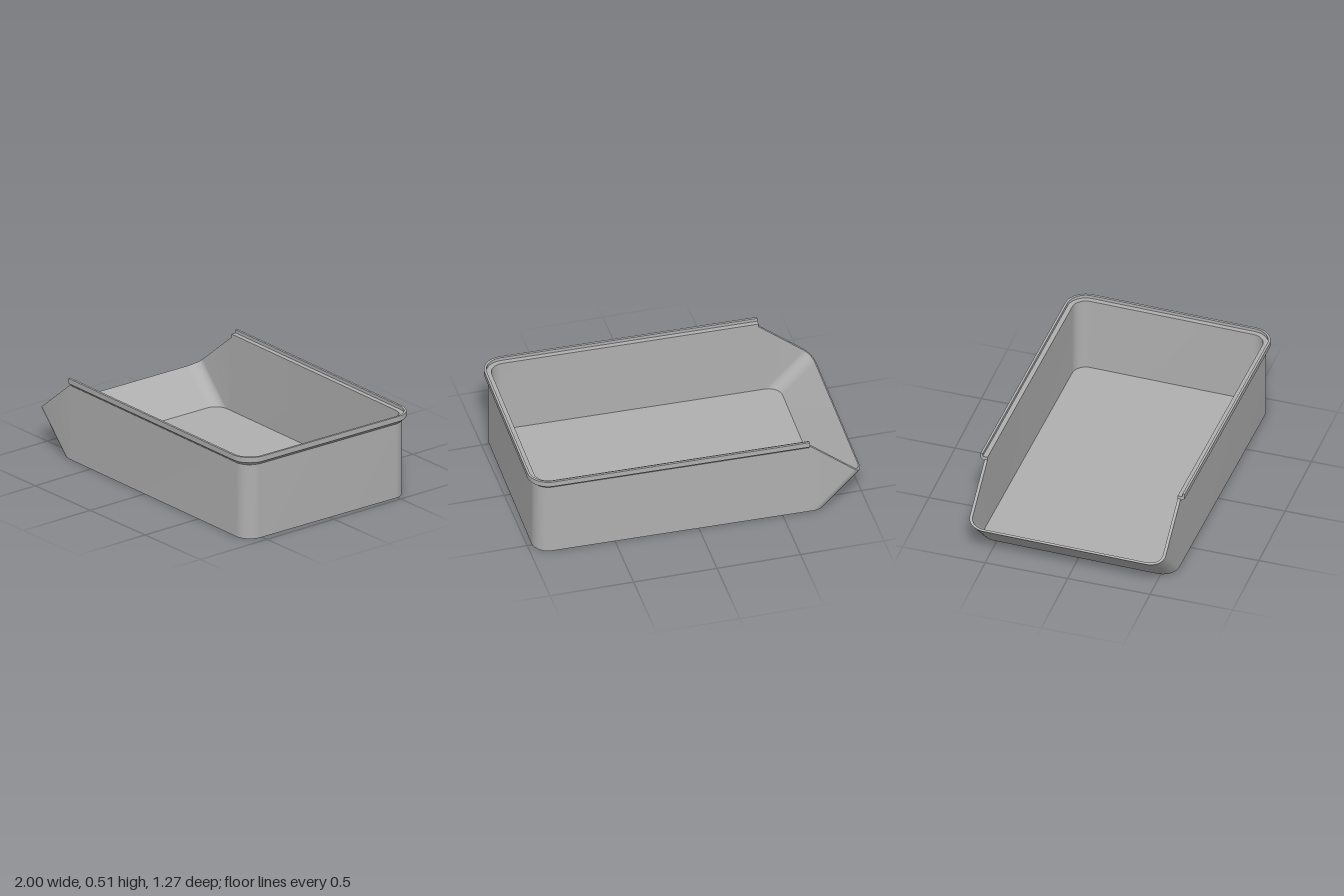
import * as THREE from 'three';
import { toCreasedNormals } from 'three/addons/utils/BufferGeometryUtils.js';

const LEFT = -0.79, RIGHT = 0.963, FRONT = 0.594, BACK = -0.601; // footprint
const RADIUS = 0.1, WALL = 0.018, FLOOR = 0.018, TOP = 0.475;
const TIP_X = -0.992, TIP_Y = 0.21, CUT_X = -0.667; // pouring mouth
const LEAN = (LEFT - TIP_X) / TIP_Y;
const SLOPE = (TOP - TIP_Y) / (CUT_X - TIP_X);
const SEGMENTS = 12;

// Rounded footprint, grown outwards by o; "lean" marks the sloping mouth wall.
function arc(cx, cz, o, from, lean) {
  const pts = [];
  for (let i = 0; i <= SEGMENTS; i++) {
    const a = (from - (i / SEGMENTS) * 90) * Math.PI / 180;
    pts.push({ x: cx + (RADIUS + o) * Math.cos(a), z: cz + (RADIUS + o) * Math.sin(a), lean });
  }
  return pts;
}

// Straight sides and far end, from the front cut round to the back cut
function rearPath(o) {
  return [
    { x: CUT_X, z: FRONT + o },
    ...arc(RIGHT - RADIUS, FRONT - RADIUS, o, 90),
    ...arc(RIGHT - RADIUS, BACK + RADIUS, o, 0),
    { x: CUT_X, z: BACK - o },
  ];
}

function fullPath(o) {
  const path = [
    ...arc(LEFT + RADIUS, FRONT - RADIUS, o, 180, true),
    ...rearPath(o),
    ...arc(LEFT + RADIUS, BACK + RADIUS, o, -90, true),
  ];
  return [...path, path[0]];
}

const atHeight = (c, y) => [c.lean ? c.x - LEAN * y : c.x, y, c.z];

// Top of a wall column, where it meets the sloping cut
const topOf = (c) => c.lean ? (TIP_Y + SLOPE * (c.x - TIP_X)) / (1 + LEAN * SLOPE) : TOP;

// Skin a list of equally long rings, with optional extra triangles
function skin(rings, extra = []) {
  const pos = [];
  const tri = (a, b, c) => pos.push(...a, ...b, ...c);
  for (let r = 0; r < rings.length - 1; r++) {
    const lo = rings[r], hi = rings[r + 1];
    for (let i = 0; i < lo.length - 1; i++) {
      if (lo[i] !== lo[i + 1]) tri(lo[i], lo[i + 1], hi[i + 1]);
      if (hi[i] !== hi[i + 1]) tri(lo[i], hi[i + 1], hi[i]);
    }
  }
  extra.forEach((t) => tri(...t));
  const g = new THREE.BufferGeometry();
  g.setAttribute('position', new THREE.Float32BufferAttribute(pos, 3));
  return toCreasedNormals(g, 0.5);
}

function traySkin() {
  const outer = fullPath(0), inner = fullPath(-WALL);
  const under = [0, 0, 0], floor = [0, FLOOR, 0];
  return skin([
    outer.map(() => under),
    outer.map((c) => atHeight(c, 0)),
    outer.map((c) => atHeight(c, topOf(c))),
    inner.map((c) => atHeight(c, topOf(c))),
    inner.map((c) => atHeight(c, FLOOR)),
    inner.map(() => floor),
  ]);
}

function rimSkin() {
  // Stepped rim section: outward offset, height
  const section = [
    [0, 0.46], [0.006, 0.469], [0.014, 0.474], [0.025, 0.483], [0.025, 0.515],
    [0.011, 0.515], [0.011, 0.495], [-WALL, 0.495], [-WALL, TOP],
  ];
  const rings = section.map(([o, y]) => rearPath(o).map((c) => [c.x, y, c.z]));
  const last = rings[0].length - 1;
  const contour = section.map(([o, y]) => new THREE.Vector2(o, y));
  const caps = [];
  THREE.ShapeUtils.triangulateShape(contour, []).forEach(([a, b, c]) => {
    caps.push([rings[a][0], rings[b][0], rings[c][0]]);
    caps.push([rings[c][last], rings[b][last], rings[a][last]]);
  });
  return skin([...rings, rings[0]], caps);
}

export function createModel() {
  const grey = new THREE.MeshStandardMaterial({ color: 0xb0b0b0 });
  grey.name = 'grey plastic';

  const bin = new THREE.Group();
  bin.name = 'openFrontTray';
  const add = (name, geometry) => {
    const mesh = new THREE.Mesh(geometry, grey);
    mesh.name = name;
    bin.add(mesh);
  };
  add('trayBody', traySkin());
  add('steppedRim', rimSkin());
  bin.rotation.y = -Math.PI / 180; // the tray sits turned by one degree

  const model = new THREE.Group();
  model.name = 'storageTray';
  model.add(bin);
  return model;
}
